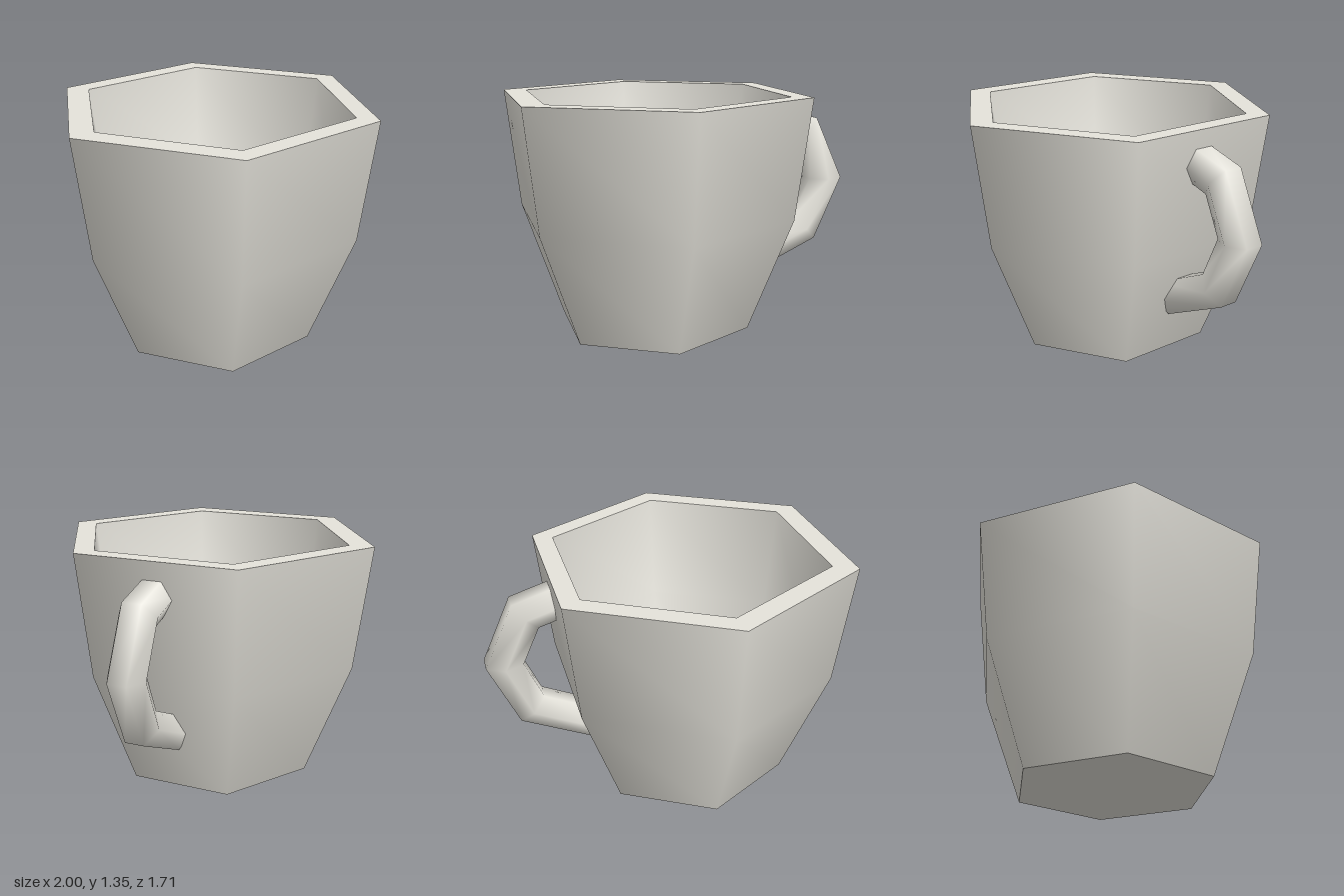
import * as THREE from 'three';

const SIDES = 6;
const TURN = THREE.MathUtils.degToRad(20);

// Mitred hexagonal tube along a path in the XY plane, smooth-shaded
function mitredTube(path, radius) {
  const normals = path.slice(1).map((p, i) => {
    const d = p.clone().sub(path[i]).normalize();
    return new THREE.Vector2(-d.y, d.x);
  });
  const positions = [], index = [];
  path.forEach((p, i) => {
    const a = normals[Math.max(i - 1, 0)];
    const b = normals[Math.min(i, normals.length - 1)];
    const miter = a.clone().add(b).divideScalar(1 + a.dot(b));
    for (let j = 0; j < SIDES; j++) {
      const t = (j / SIDES) * Math.PI * 2;
      const s = Math.sin(t) * radius;
      positions.push(p.x + miter.x * s, p.y + miter.y * s, Math.cos(t) * radius);
      if (i < path.length - 1) {
        const k = (j + 1) % SIDES, r0 = i * SIDES, r1 = r0 + SIDES;
        index.push(r0 + j, r1 + j, r0 + k, r1 + j, r1 + k, r0 + k);
      }
    }
  });
  const geometry = new THREE.BufferGeometry();
  geometry.setAttribute('position', new THREE.Float32BufferAttribute(positions, 3));
  geometry.setIndex(index);
  geometry.computeVertexNormals();
  return geometry;
}

// Flat ring between two slightly offset hexagons
function rimGeometry(outerRadius, innerRadius, innerShift) {
  const corners = (r, x) => Array.from({ length: SIDES }, (_, i) => {
    const a = TURN + (i / SIDES) * Math.PI * 2;
    return new THREE.Vector2(x + r * Math.sin(a), -r * Math.cos(a));
  });
  const shape = new THREE.Shape(corners(outerRadius, 0));
  shape.holes.push(new THREE.Path(corners(innerRadius, innerShift)));
  return new THREE.ShapeGeometry(shape).rotateX(-Math.PI / 2);
}

export function createModel() {
  const model = new THREE.Group();
  model.name = 'mug';
  const ceramic = new THREE.MeshStandardMaterial({ color: 0xe5e3db });
  ceramic.name = 'pale grey ceramic';

  const cup = new THREE.Group();
  cup.name = 'cup';
  cup.position.x = -0.103;
  model.add(cup);

  const add = (name, geometry) => {
    const mesh = new THREE.Mesh(geometry, ceramic);
    mesh.name = name;
    cup.add(mesh);
    return mesh;
  };

  // Six-sided body: separate profiles keep the rim, floor and base edges sharp
  const hexLathe = (points) =>
    new THREE.LatheGeometry(points.map(([r, y]) => new THREE.Vector2(r, y)), SIDES, TURN);
  add('base', hexLathe([[0, 0], [0.569, 0]]));
  add('outerWall', hexLathe([[0.569, 0], [0.823, 0.66], [0.91, 1.35]]));

  // Hollow: a smaller copy of the outside, a touch off centre
  const shift = 0.01;
  add('rim', rimGeometry(0.91, 0.777, shift)).position.y = 1.35;
  add('innerWall', hexLathe([[0.777, 1.35], [0.702, 0.76], [0.485, 0.2]])).position.x = shift;
  add('floor', hexLathe([[0.485, 0.2], [0, 0.2]])).position.x = shift;

  // Handle springs from the middle of one face, its ends sunk into the wall
  const path = [[0.72, 1.17], [0.925, 1.108], [1.058, 0.82], [0.928, 0.522], [0.56, 0.35]]
    .map(([x, y]) => new THREE.Vector2(x, y));
  const handle = add('handle', mitredTube(path, 0.107));
  handle.rotation.y = TURN;
  handle.position.z = 0.014;

  return model;
}
